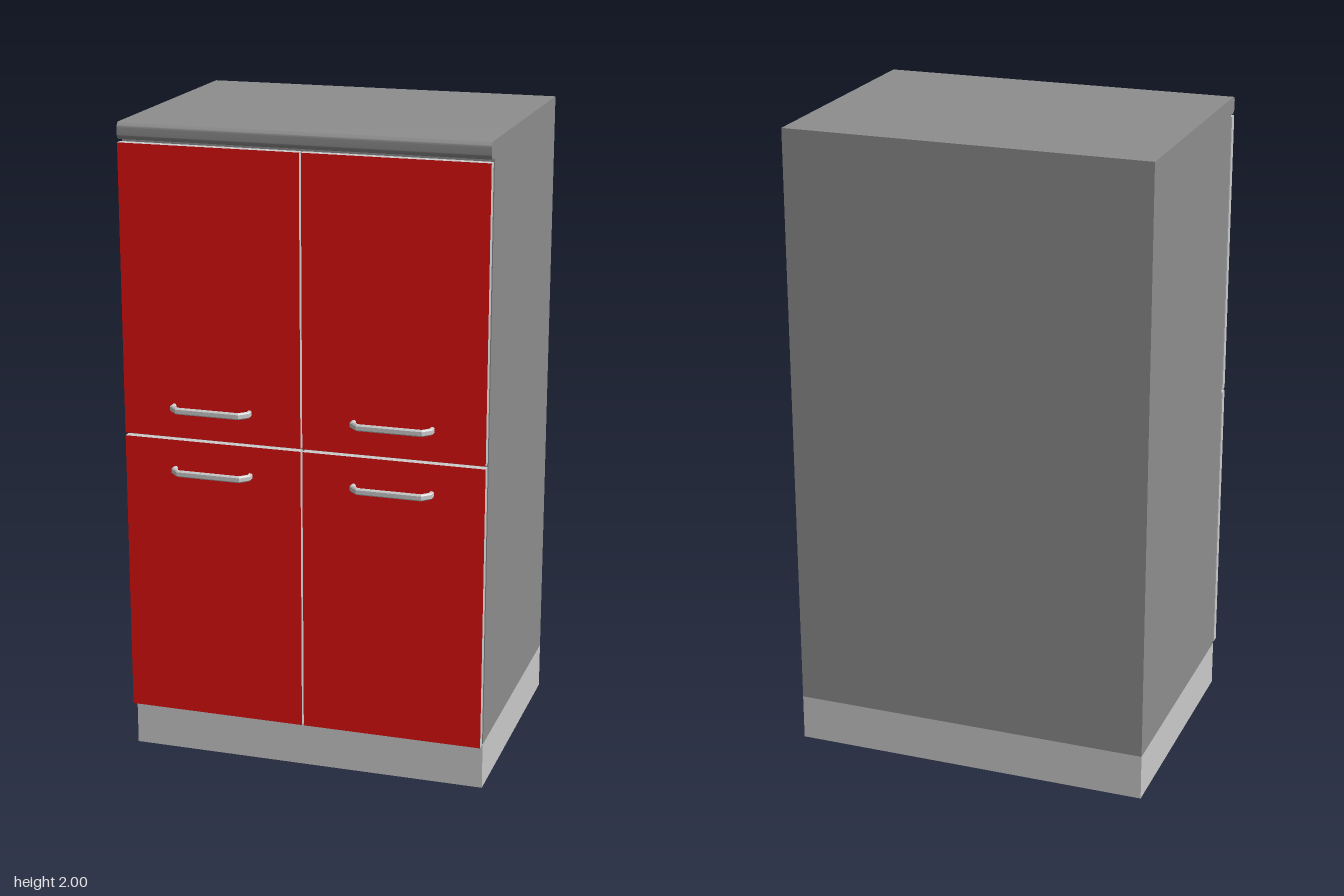
import * as THREE from 'three';
import { toCreasedNormals } from 'three/addons/utils/BufferGeometryUtils.js';

const W = 1.13;            // cabinet width
const BACK = -0.447;       // rear plane
const BODY_FRONT = 0.362;  // carcass front plane
const DOOR_FRONT = 0.4;    // door and worktop front plane

const mat = (color) => new THREE.MeshStandardMaterial({ color });

function addMesh(parent, name, geometry, material, x = 0, y = 0, z = 0) {
  const mesh = new THREE.Mesh(geometry, material);
  mesh.name = name;
  mesh.position.set(x, y, z);
  parent.add(mesh);
  return mesh;
}

// Side profile of the carcass with its rounded worktop lip, extruded across the width
function bodyGeometry() {
  const r = 0.016, lip = 1.948;
  const s = new THREE.Shape();
  s.moveTo(-BACK, 0.145);
  s.lineTo(-BACK, 2);
  s.lineTo(-DOOR_FRONT + r, 2);
  s.absarc(-DOOR_FRONT + r, 2 - r, r, Math.PI / 2, Math.PI, false);
  s.lineTo(-DOOR_FRONT, lip + r);
  s.absarc(-DOOR_FRONT + r, lip + r, r, Math.PI, Math.PI * 1.5, false);
  s.lineTo(-BODY_FRONT, lip);
  s.lineTo(-BODY_FRONT, 0.145);
  s.closePath();
  const g = new THREE.ExtrudeGeometry(s, { depth: W, bevelEnabled: false, curveSegments: 6 });
  g.translate(0, 0, -W / 2);
  g.rotateY(Math.PI / 2);
  return toCreasedNormals(g, 0.6);
}

// Bow handle: bar with clipped corners and two posts, chamfered all round
function handleGeometry() {
  const b = 0.004, hw = 0.127 - b, out = 0.046 - b, c = 0.024, t = 0.006;
  const k = t * 0.414;
  const outer = [[-hw, 0], [-hw, out - c], [-hw + c, out], [hw - c, out], [hw, out - c], [hw, 0]];
  const inner = [[hw - t, 0], [hw - t, out - c - k], [hw - c - k, out - t],
    [-hw + c + k, out - t], [-hw + t, out - c - k], [-hw + t, 0]];
  const s = new THREE.Shape([...outer, ...inner].map(([x, y]) => new THREE.Vector2(x, y)));
  const g = new THREE.ExtrudeGeometry(s, {
    depth: 0.012, bevelEnabled: true, bevelThickness: b, bevelSize: b, bevelSegments: 1,
  });
  g.translate(0, 0, -0.006);
  g.rotateX(Math.PI / 2);
  return g;
}

export function createModel() {
  const root = new THREE.Group();
  root.name = 'cabinet';
  const light = mat(0xcccccc), dark = mat(0x8e8e8e), red = mat(0xe01010);

  addMesh(root, 'body', bodyGeometry(), dark);

  // Plinth
  const depth = 0.367 - BACK;
  addMesh(root, 'plinth', new THREE.BoxGeometry(W, 0.145, depth), light, 0, 0.0725, BACK + depth / 2);

  // Four doors, red on the front face only, each with a handle
  const handle = handleGeometry();
  const doorT = 0.025, doorW = W / 2 - 0.003;
  const rows = [
    { name: 'lower', y0: 0.147, y1: 1.038, handleY: 0.945 },
    { name: 'upper', y0: 1.047, y1: 1.94, handleY: 1.143 },
  ];
  for (const { name, y0, y1, handleY } of rows) {
    for (const side of [-1, 1]) {
      const label = name + (side > 0 ? 'Left' : 'Right');
      const door = new THREE.Group();
      door.name = label + 'Door';
      addMesh(door, label + 'Panel', new THREE.BoxGeometry(doorW, y1 - y0, doorT),
        [light, light, light, light, red, light],
        side * (0.003 + doorW / 2), (y0 + y1) / 2, DOOR_FRONT - doorT / 2);
      addMesh(door, label + 'Handle', handle, light, side * 0.283, handleY, DOOR_FRONT);
      root.add(door);
    }
  }
  return root;
}
